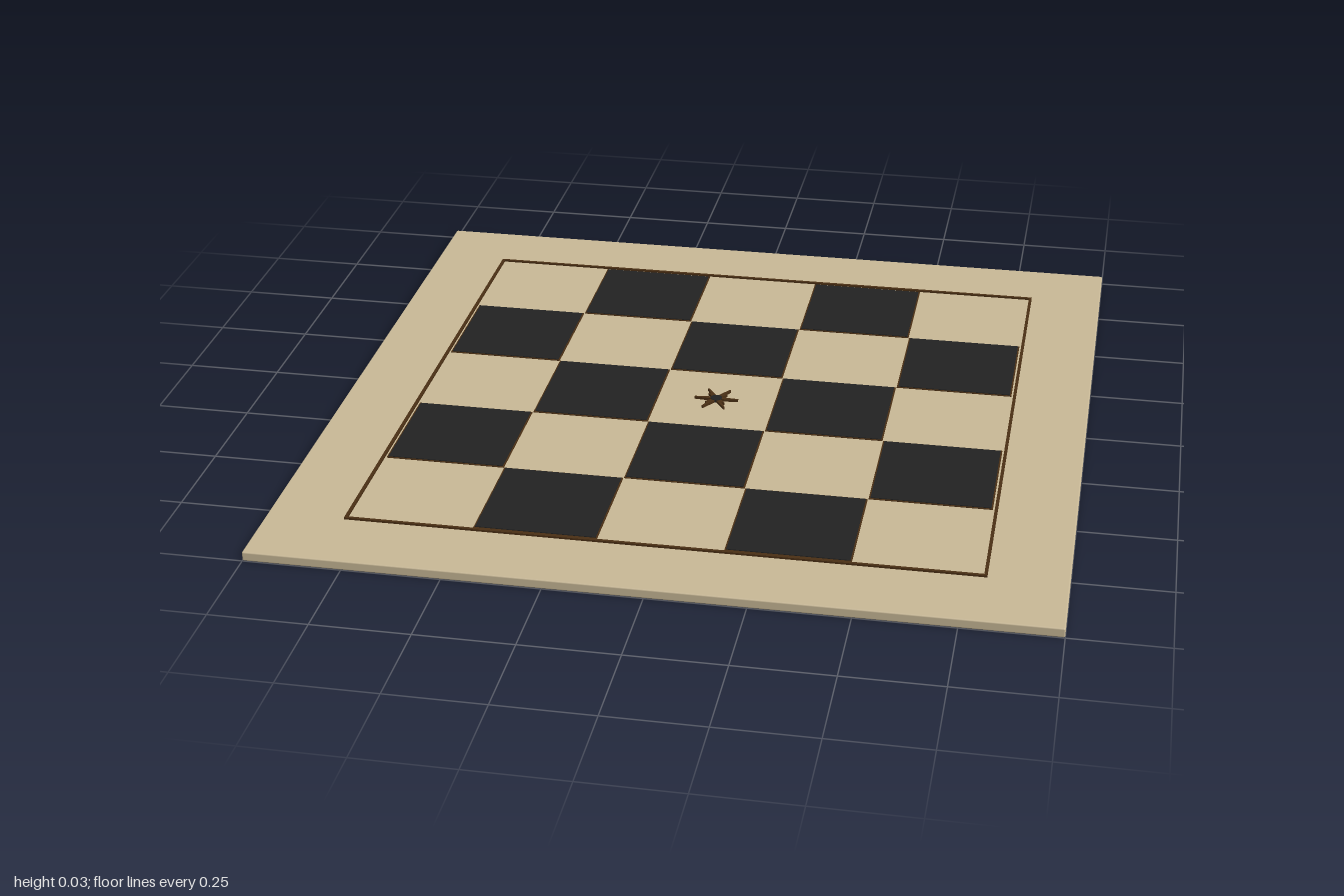
import * as THREE from 'three';
import { RoundedBoxGeometry } from 'three/addons/geometries/RoundedBoxGeometry.js';

export function createModel() {
  const group = new THREE.Group();
  const tan = new THREE.MeshStandardMaterial({ color: 0xc8b896 });
  const black = new THREE.MeshStandardMaterial({ color: 0x222222 });
  const brown = new THREE.MeshStandardMaterial({ color: 0x4a2f14 });
  tan.name = 'tan wood';
  black.name = 'black tile';
  brown.name = 'burnt brown';

  const TOP = 0.025;
  const add = (name, geometry, material, x = 0, y = 0, z = 0, parent = group) => {
    const mesh = new THREE.Mesh(geometry, material);
    mesh.name = name;
    mesh.position.set(x, y, z);
    parent.add(mesh);
    return mesh;
  };
  // Thin plate standing on the board's top face
  const plate = (name, w, h, d, material, x, z, parent) =>
    add(name, new THREE.BoxGeometry(w, h, d), material, x, TOP + h / 2, z, parent);

  // Board slab with softened edges
  add('board', new RoundedBoxGeometry(2, TOP, 2, 2, 0.004), tan, 0, TOP / 2, 0);

  // Border line around the playing field
  const border = new THREE.Group();
  border.name = 'borderLine';
  group.add(border);
  for (const s of [-1, 1]) {
    plate('borderRail', 1.604, 0.005, 0.008, brown, 0, s * 0.798, border);
    plate('borderSide', 0.008, 0.005, 1.588, brown, s * 0.798, 0, border);
  }

  // Dark squares, each with a fine brown outline
  const tiles = new THREE.Group();
  tiles.name = 'darkSquares';
  group.add(tiles);
  const pitch = 0.316;
  for (let row = 0; row < 5; row++) {
    for (let col = 0; col < 5; col++) {
      if ((row + col) % 2 === 0) continue;
      const x = (col - 2) * pitch, z = (row - 2) * pitch;
      plate('squareOutline', 0.314, 0.002, 0.314, brown, x, z, tiles);
      plate('darkSquare', 0.306, 0.004, 0.306, black, x, z, tiles);
    }
  }

  // Central star mark: six long rays, four short ones and a hub
  const star = new THREE.Group();
  star.name = 'centreStar';
  group.add(star);
  const ray = (angle, length, width) => {
    const shape = new THREE.Shape();
    shape.moveTo(0, -width);
    shape.lineTo(length, -width * 0.3);
    shape.lineTo(length, width * 0.3);
    shape.lineTo(0, width);
    const geometry = new THREE.ExtrudeGeometry(shape, { depth: 0.007, bevelEnabled: false });
    geometry.rotateX(-Math.PI / 2);
    add('ray', geometry, brown, 0, TOP, 0, star).rotation.y = angle;
  };
  for (let i = 0; i < 6; i++) ray(i * Math.PI / 3, 0.06, 0.007);
  for (let i = 0; i < 4; i++) ray((i + 0.5) * Math.PI / 2, 0.036, 0.006);
  add('hub', new THREE.CylinderGeometry(0.016, 0.016, 0.008, 16), black, 0, TOP + 0.004, 0, star);

  return group;
}
